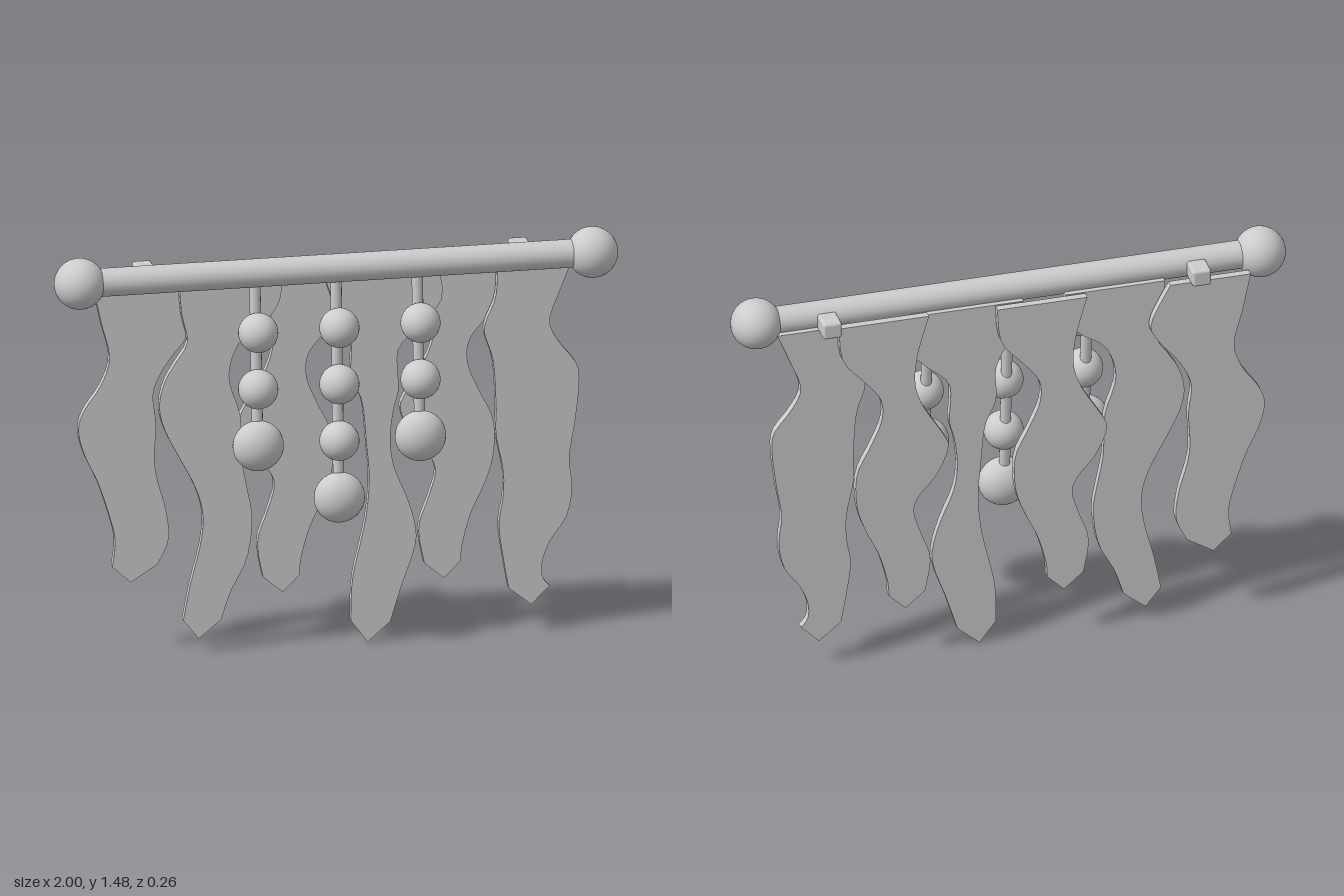
import * as THREE from 'three';
import { RoundedBoxGeometry } from 'three/addons/geometries/RoundedBoxGeometry.js';

// Each ribbon: left edge going down, pointed tip, right edge going up
const outerRibbon = {
  left: [[-.85, 1.365], [-.82, 1.22], [-.79, 1.09], [-.82, .99], [-.88, .9], [-.9, .83], [-.88, .74], [-.83, .63], [-.785, .49], [-.77, .41], [-.78, .32]],
  tip: [-.715, .26],
  right: [[-.62, .32], [-.58, .41], [-.59, .52], [-.62, .63], [-.63, .71], [-.625, .84], [-.635, .95], [-.59, 1.05], [-.52, 1.14], [-.49, 1.22], [-.56, 1.365]],
};
const secondRibbon = {
  left: [[-.55, 1.365], [-.54, 1.24], [-.52, 1.14], [-.56, 1.07], [-.6, 1], [-.62, .91], [-.6, .82], [-.545, .71], [-.49, .6], [-.465, .5], [-.475, .39], [-.51, .25], [-.535, .12]],
  tip: [-.48, .05],
  right: [[-.4, .115], [-.365, .22], [-.31, .33], [-.29, .47], [-.305, .575], [-.325, .68], [-.33, .79], [-.335, .87], [-.37, .98], [-.365, 1.06], [-.325, 1.14], [-.24, 1.2], [-.19, 1.28], [-.19, 1.365]],
};
const shortRibbon = {
  left: [[-.26, 1.365], [-.22, 1.22], [-.21, 1.1], [-.24, 1], [-.31, .88], [-.33, .82], [-.29, .72], [-.225, .64], [-.205, .58], [-.23, .49], [-.265, .38], [-.245, .25]],
  tip: [-.175, .19],
  right: [[-.115, .25], [-.11, .31], [-.08, .42], [-.03, .53], [0, .63], [0, .76], [-.05, .87], [-.09, .97], [-.085, 1.055], [-.03, 1.13], [.05, 1.23], [.065, 1.365]],
};
const longRibbon = {
  left: [[-.04, 1.365], [.01, 1.22], [.06, 1.11], [.06, .98], [.1, .88], [.115, .73], [.125, .6], [.115, .47], [.095, .37], [.065, .23], [.06, .08]],
  tip: [.12, 0],
  right: [[.2, .07], [.24, .2], [.285, .33], [.29, .41], [.26, .52], [.215, .63], [.2, .73], [.21, .84], [.23, .92], [.225, 1], [.235, 1.08], [.33, 1.17], [.385, 1.25], [.37, 1.365]],
};
const endRibbon = {
  left: [[.58, 1.365], [.575, 1.24], [.54, 1.15], [.535, 1.1], [.565, 1], [.575, .84], [.575, .73], [.6, .6], [.6, .5], [.585, .4], [.6, .28], [.62, .165]],
  tip: [.7, .1],
  right: [[.765, .165], [.74, .2], [.74, .26], [.77, .335], [.825, .415], [.845, .52], [.835, .63], [.855, .76], [.87, .9], [.86, .975], [.8, 1.055], [.765, 1.135], [.8, 1.24], [.85, 1.365]],
};

export function createModel() {
  const model = new THREE.Group();
  model.name = 'ribbonHanging';
  const grey = new THREE.MeshStandardMaterial({ color: 0xcccccc });
  grey.name = 'light grey';

  const add = (name, geometry, x = 0, y = 0, z = 0) => {
    const mesh = new THREE.Mesh(geometry, grey);
    mesh.name = name;
    mesh.position.set(x, y, z);
    model.add(mesh);
    return mesh;
  };

  // Horizontal rod with ball ends and the two clips behind it
  add('rod', new THREE.CylinderGeometry(.05, .05, 1.74, 32), 0, 1.39, 0).rotation.z = Math.PI / 2;
  for (const side of [-1, 1]) {
    add('endBall', new THREE.SphereGeometry(.09, 32, 24), side * .91, 1.39, 0);
    add('clip', new RoundedBoxGeometry(.068, .062, .085, 2, .01), side * .667, 1.39, -.083);
  }

  // Flat wavy ribbons, alternating between two layers
  const smooth = (pts) => new THREE.SplineCurve(pts.map((p) => new THREE.Vector2(...p))).getPoints(36);
  const addRibbon = ({ left, tip, right }, z, dx = 0, dy = 0) => {
    const outline = [...smooth(left), new THREE.Vector2(...tip), ...smooth(right)];
    const geometry = new THREE.ExtrudeGeometry(new THREE.Shape(outline), { depth: .028, bevelEnabled: false });
    add('ribbon', geometry, dx, dy, z);
  };
  const front = -.063, back = -.098;
  addRibbon(outerRibbon, back);
  addRibbon(secondRibbon, front);
  addRibbon(shortRibbon, back);
  addRibbon(longRibbon, front);
  addRibbon(shortRibbon, back, .572, .015);
  addRibbon(endRibbon, front);

  // Beaded strings: round beads ending in a larger flattened one
  const addString = (x, count) => {
    const endY = 1.19 - .207 * (count - 1);
    const cord = new THREE.LineCurve3(new THREE.Vector3(x, 1.38, -.002), new THREE.Vector3(x, endY, .05));
    add('cord', new THREE.TubeGeometry(cord, 1, .02, 12));
    for (let i = 0; i < count; i++) {
      const last = i === count - 1;
      const bead = add(last ? 'endBead' : 'bead', new THREE.SphereGeometry(last ? .09 : .07, 32, 24), x, 1.19 - .207 * i, .06);
      if (last) bead.scale.z = .78;
    }
  };
  addString(-.288, 3);
  addString(0, 4);
  addString(.288, 3);

  return model;
}
